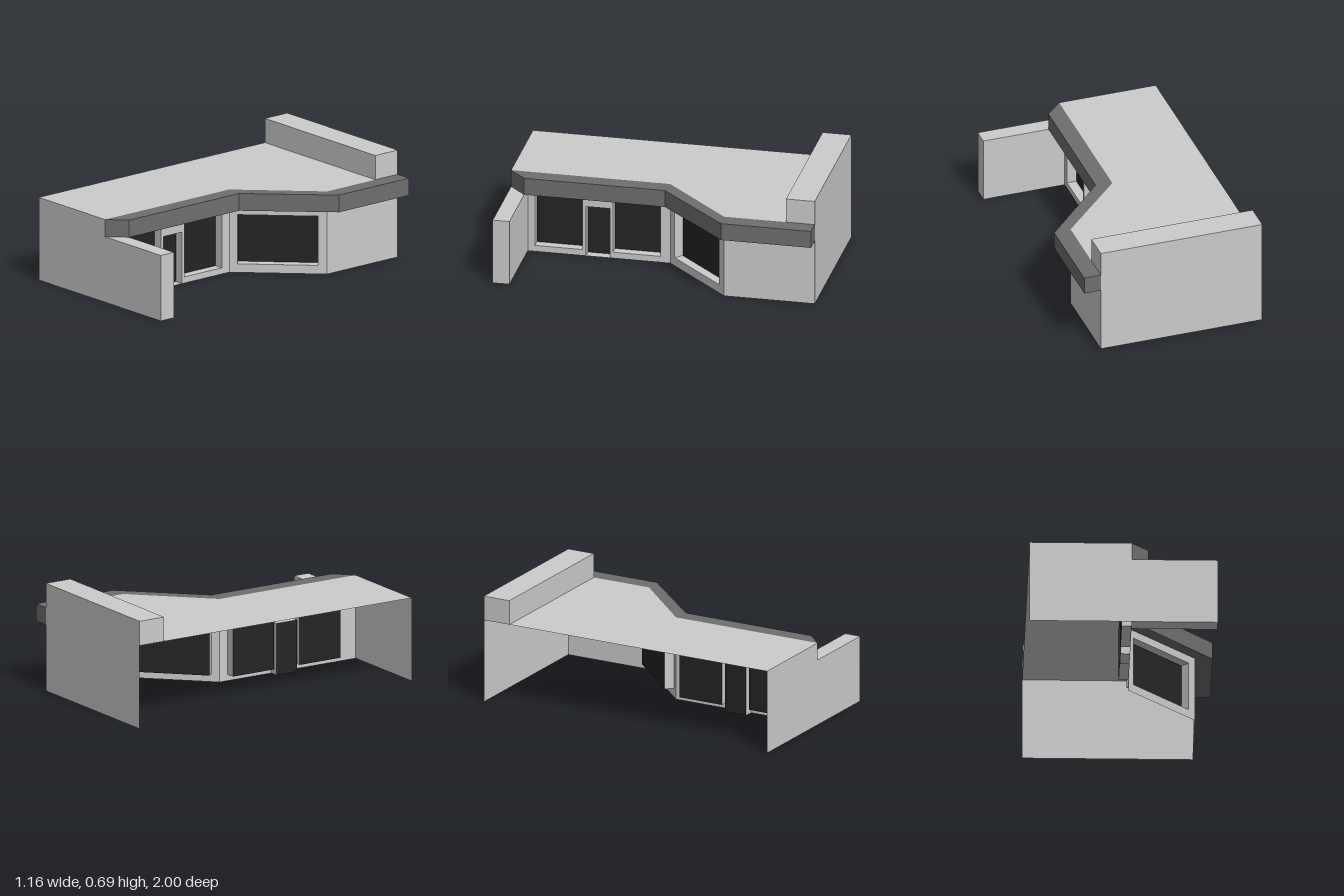
import * as THREE from 'three';

const W = 0.578, ROOF = 0.53, EAVE = 0.42, RECESS = 0.06;
const paint = (color) => new THREE.MeshStandardMaterial({ color, side: THREE.DoubleSide, flatShading: true });

export function createModel() {
  const model = new THREE.Group();
  const grey = paint(0xcccccc), trim = paint(0x6e6e6e), dark = paint(0x242424);

  const add = (name, geometry, material, parent = model) => {
    const mesh = new THREE.Mesh(geometry, material);
    mesh.name = name;
    parent.add(mesh);
    return mesh;
  };

  const box = (name, x0, x1, y0, y1, z0, z1) =>
    add(name, new THREE.BoxGeometry(x1 - x0, y1 - y0, z1 - z0), grey)
      .position.set((x0 + x1) / 2, (y0 + y1) / 2, (z0 + z1) / 2);

  // plan outline given as [x, z]
  const plan = (points) => new THREE.Shape(points.map(([x, z]) => new THREE.Vector2(x, -z)));

  // thin wall from plan point a to b, facing right of travel, with recessed openings [name, u0, u1, y0, y1]
  const wall = (name, a, b, height, openings = []) => {
    const dx = b[0] - a[0], dz = b[1] - a[1], length = Math.hypot(dx, dz);
    const group = new THREE.Group();
    group.name = name;
    group.position.set(a[0], 0, a[1]);
    group.rotation.y = Math.atan2(-dz, dx);
    model.add(group);

    const shape = new THREE.Shape().moveTo(0, 0);
    for (const [, u0, u1, y0, y1] of openings) {
      if (y0 === 0) {
        // doorway notched out of the bottom edge
        shape.lineTo(u0, 0).lineTo(u0, y1).lineTo(u1, y1).lineTo(u1, 0);
      } else {
        shape.holes.push(new THREE.Path().moveTo(u0, y0).lineTo(u0, y1).lineTo(u1, y1).lineTo(u1, y0).closePath());
      }
    }
    shape.lineTo(length, 0).lineTo(length, height).lineTo(0, height).closePath();
    add(name + 'Panel', new THREE.ShapeGeometry(shape), grey, group);

    for (const [part, u0, u1, y0, y1] of openings) {
      const w = u1 - u0, h = y1 - y0, u = (u0 + u1) / 2, y = (y0 + y1) / 2;
      add(part, new THREE.PlaneGeometry(w, h), dark, group).position.set(u, y, -RECESS);
      // reveals: two jambs, head and sill
      for (const s of [-1, 1]) {
        const jamb = add(part + 'Jamb', new THREE.PlaneGeometry(RECESS, h).rotateY(-s * Math.PI / 2), grey, group);
        jamb.position.set(u + s * w / 2, y, -RECESS / 2);
        const sill = add(part + (s < 0 ? 'Sill' : 'Head'),
          new THREE.PlaneGeometry(w, RECESS).rotateX(s * Math.PI / 2), grey, group);
        sill.position.set(u, y + s * h / 2, -RECESS / 2);
      }
    }
  };

  // roof slab surface
  const roof = new THREE.ShapeGeometry(plan([[-W, 1], [0.05, 1], [0.05, 0], [0.47, -0.43], [0.47, -1], [-W, -1]]));
  add('roof', roof.rotateX(-Math.PI / 2), grey).position.y = ROOF;

  // overhanging fascia that follows the bent shopfront
  const canopy = plan([[0.05, 1], [0.155, 0.895], [0.155, 0.01], [W, -0.435], [W, -1], [0.47, -1], [0.47, -0.43], [0.05, 0]]);
  add('canopy', new THREE.ExtrudeGeometry(canopy, { depth: ROOF - EAVE, bevelEnabled: false })
    .rotateX(-Math.PI / 2), trim).position.y = EAVE;

  // facade: straight run, angled bay, end run
  wall('straightFacade', [0.05, 0.9], [0.05, 0], ROOF, [
    ['firstWindow', 0.05, 0.35, 0.04, 0.38],
    ['door', 0.37, 0.52, 0, 0.33],
    ['secondWindow', 0.54, 0.84, 0.04, 0.38],
  ]);
  wall('angledFacade', [0.05, 0], [0.47, -0.43], ROOF, [['angledWindow', 0.05, 0.545, 0.055, 0.37]]);
  wall('endFacade', [0.47, -0.43], [0.47, -1], ROOF);

  // end walls, projecting wing wall and parapet
  wall('frontWall', [-W, 1], [0.05, 1], ROOF);
  wall('backWall', [0.47, -1], [-W, -1], ROOF);
  box('wingWall', 0.05, W, 0, EAVE, 0.895, 1);
  box('parapet', -W, 0.47, ROOF, 0.685, -1, -0.82);

  return model;
}
